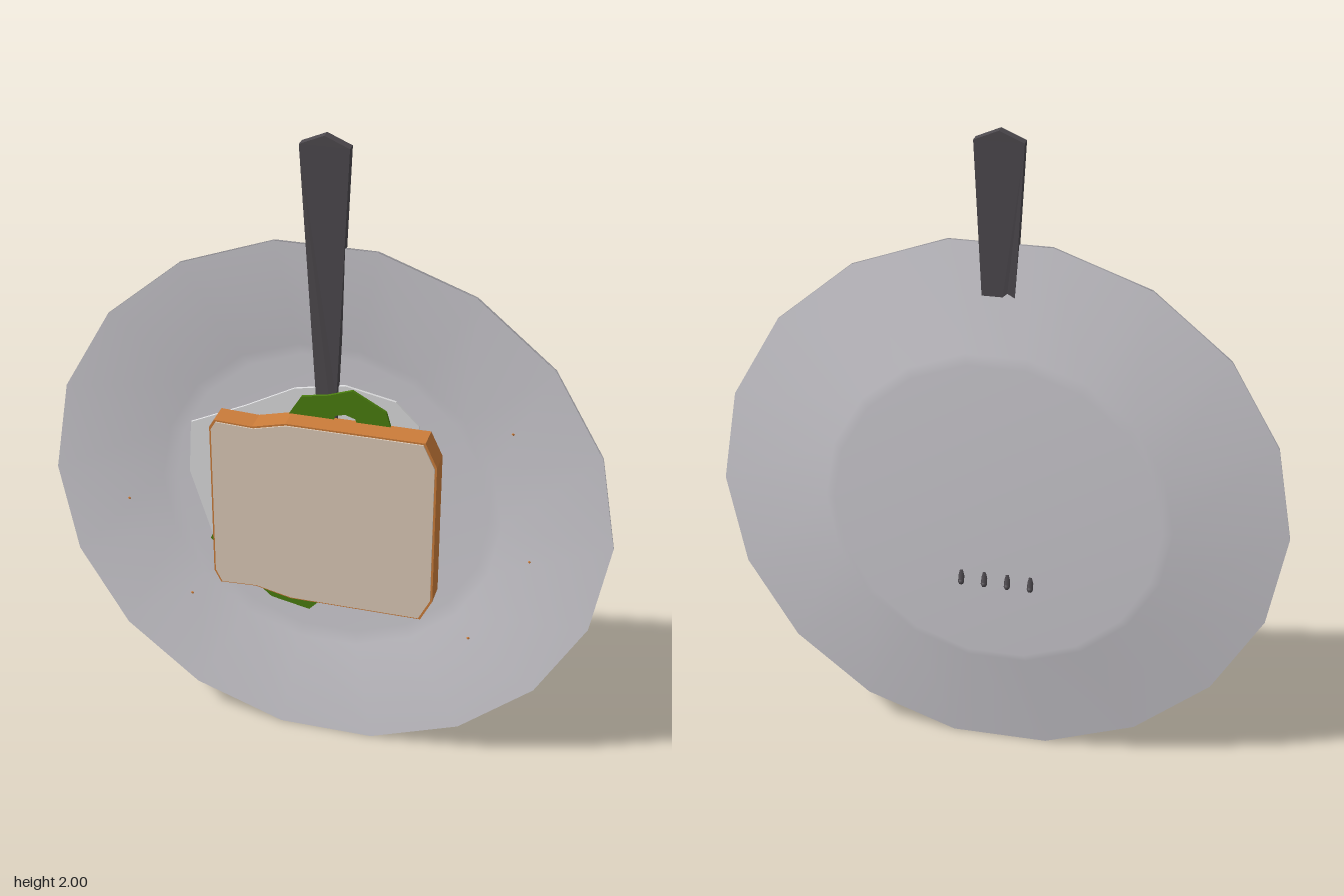
import * as THREE from 'three';

const mat = (name, color, side = THREE.FrontSide) => {
  const m = new THREE.MeshStandardMaterial({ color, side });
  m.name = name;
  return m;
};

export function createModel() {
  const china = mat('plateGrey', 0xd0ced4);
  const pale = mat('paleSlice', 0xdcdcde);
  const green = mat('lettuceGreen', 0x4a7d0f);
  const crust = mat('crustBrown', 0xcb7c3a);
  const crumb = mat('breadCream', 0xdccab8);
  const steel = mat('darkSteel', 0x4d494e);

  const group = new THREE.Group();
  const add = (name, geo, material) => {
    const mesh = new THREE.Mesh(geo, material);
    mesh.name = name;
    group.add(mesh);
    return mesh;
  };
  const outline = (pts) => new THREE.Shape(pts.map(([x, y]) => new THREE.Vector2(x, y)));
  const slab = (shape, z0, z1) => {
    const g = new THREE.ExtrudeGeometry(shape, { depth: z1 - z0, bevelEnabled: false });
    return g.translate(0, 0, z0);
  };

  // Dished plate with 18 sides, standing on its rim
  const profile = [
    [0, -0.06], [0.49, -0.06], [0.52, -0.045], [0.85, -0.008],
    [0.85, 0.001], [0.52, -0.032], [0.48, -0.048], [0, -0.048],
  ].map(([r, h]) => new THREE.Vector2(r, h));
  const plateGeo = new THREE.LatheGeometry(profile, 18, Math.PI / 18);
  plateGeo.rotateX(Math.PI / 2).translate(0, 0.84, 0);
  add('plate', plateGeo, china);

  // Pale filling under the lettuce
  add('paleSlice', slab(outline([
    [-0.42, 1.05], [-0.25, 1.13], [-0.1, 1.21], [0.05, 1.24], [0.2, 1.21], [0.27, 1.14],
    [0.29, 0.9], [0.2, 0.65], [0, 0.58], [-0.25, 0.6], [-0.36, 0.65], [-0.43, 0.88],
  ]), -0.03, -0.022), pale);

  // Lettuce leaf with a small gap near its top
  const leaf = outline([
    [-0.11, 1.14], [-0.07, 1.205], [0.01, 1.22], [0.08, 1.245], [0.18, 1.19], [0.2, 1.12],
    [0.25, 0.9], [0.15, 0.65], [0.01, 0.53], [-0.05, 0.465], [-0.17, 0.49], [-0.25, 0.56],
    [-0.36, 0.67], [-0.32, 0.76], [-0.25, 0.95],
  ]);
  leaf.holes.push(new THREE.Path([[0.02, 1.11], [0.03, 1.157], [0.06, 1.165], [0.09, 1.155], [0.1, 1.11]]
    .map(([x, y]) => new THREE.Vector2(x, y))));
  add('lettuce', slab(leaf, 0, 0.009), green);

  // Bread: crust block with a slightly smaller cream face
  const breadPts = [
    [-0.33, 1.1], [-0.315, 1.125], [-0.2, 1.12], [-0.1, 1.145], [0.31, 1.145], [0.345, 1.07],
    [0.345, 0.61], [0.31, 0.54], [-0.09, 0.54], [-0.2, 0.565], [-0.31, 0.56], [-0.33, 0.6],
  ];
  add('breadCrust', slab(outline(breadPts), 0, 0.071), crust);
  const face = breadPts.map(([x, y]) => [0.007 + (x - 0.007) * 0.982, 0.843 + (y - 0.843) * 0.982]);
  add('breadFace', slab(outline(face), 0.07, 0.075), crumb);

  // Fork: tapering handle leaning into the dish, head and four curved tines
  const handle = slab(outline([
    [-0.07, 1.97], [-0.03, 1.2], [-0.03, 1.0], [-0.12, 0.92], [-0.12, 0.84],
    [0.12, 0.84], [0.12, 0.92], [0.03, 1.0], [0.03, 1.2], [0.07, 1.97], [0, 2.0],
  ]), -0.015, 0.014);
  const pos = handle.attributes.position;
  for (let i = 0; i < pos.count; i++) {
    const drop = Math.max(0, 1.97 - pos.getY(i));
    pos.setZ(i, pos.getZ(i) - Math.min(0.02, drop * 0.023));
  }
  handle.computeVertexNormals();
  add('forkHandle', handle, steel);
  for (let i = 0; i < 4; i++) {
    const x = (i - 1.5) * 0.07;
    const curve = new THREE.QuadraticBezierCurve3(
      new THREE.Vector3(x, 0.86, -0.025), new THREE.Vector3(x, 0.7, -0.02), new THREE.Vector3(x, 0.605, -0.067));
    add('forkTine', new THREE.TubeGeometry(curve, 6, 0.009, 6), steel);
    const tip = add('forkTineTip', new THREE.SphereGeometry(0.01, 6, 4), steel);
    tip.position.set(x, 0.605, -0.067);
  }

  // Tiny crumbs on the rim
  [[0.54, 1.16], [0.61, 0.74], [-0.63, 0.75], [0.44, 0.43], [-0.44, 0.43]].forEach(([x, y]) => {
    const r = Math.hypot(x, y - 0.84);
    const bit = add('crumb', new THREE.IcosahedronGeometry(0.006, 0), crust);
    bit.position.set(x, y, -0.032 + (r - 0.52) * 0.1 - 0.002);
  });

  return group;
}
